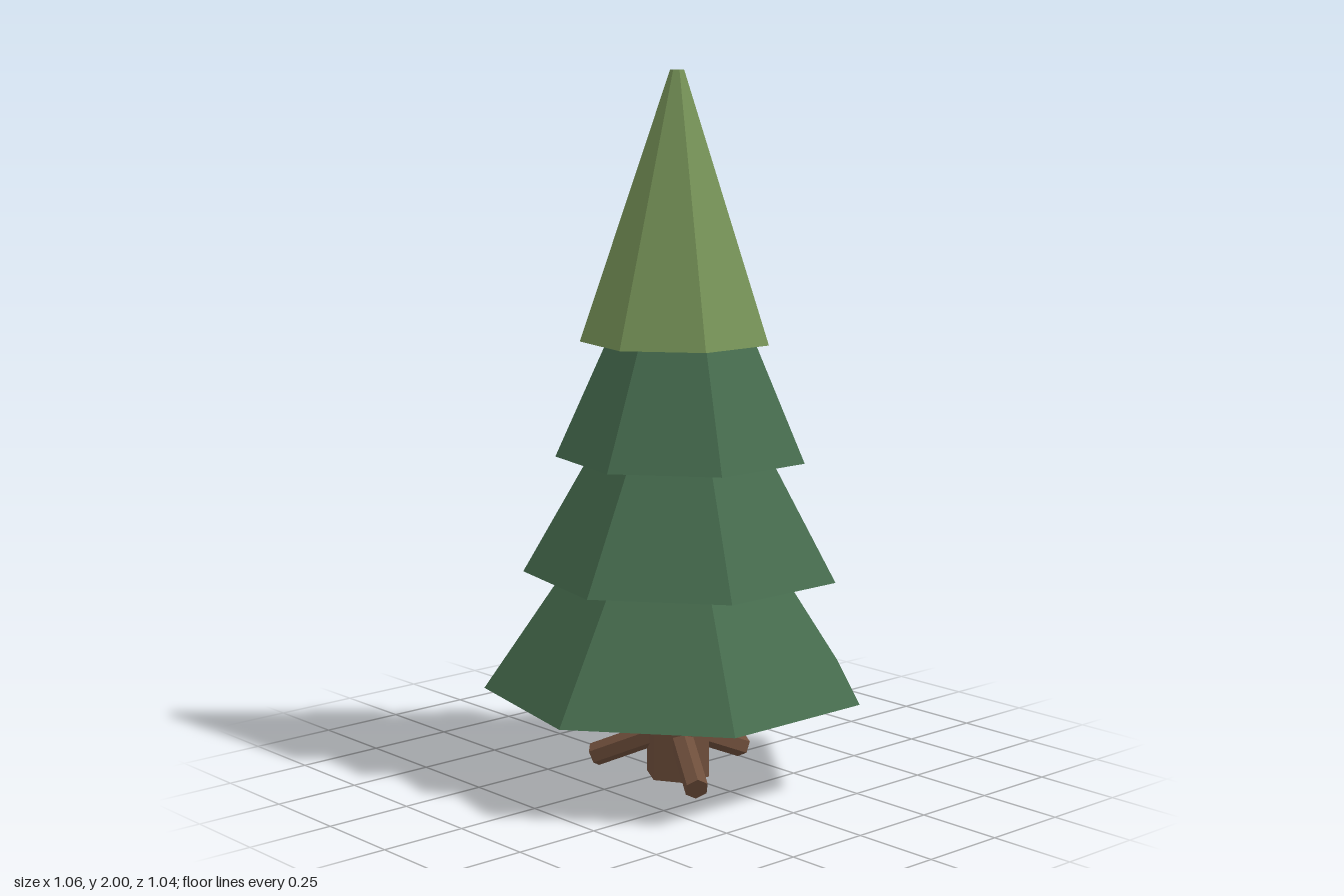
import * as THREE from 'three';

const flat = (name, color) => {
  const m = new THREE.MeshStandardMaterial({ color });
  m.name = name;
  return m;
};

export function createModel() {
  const tree = new THREE.Group();
  tree.name = 'tree';
  const darkGreen = flat('dark green', 0x476d4f);
  const lightGreen = flat('light green', 0x779458);
  const brown = flat('bark brown', 0x6e4e3b);

  const CZ = 0.026; // depth of the trunk axis

  // Flat-sided frustum, centred on its own axis
  const prism = (name, rTop, rBottom, height, sides, start, material) => {
    const geometry = new THREE.CylinderGeometry(rTop, rBottom, height, sides, 1, false, start).toNonIndexed();
    geometry.computeVertexNormals();
    const mesh = new THREE.Mesh(geometry, material);
    mesh.name = name;
    return mesh;
  };

  // Seven-sided foliage tiers: name, centre x, y from, y to, bottom radius, top radius
  const tiers = [
    ['bottomTier', 0, 0.267, 0.605, 0.546, 0.316, darkGreen],
    ['lowerMiddleTier', 0.026, 0.6, 0.93, 0.453, 0.264, darkGreen],
    ['upperMiddleTier', 0.026, 0.928, 1.26, 0.36, 0.211, darkGreen],
    ['topTier', 0.002, 1.254, 2, 0.271, 0.02, lightGreen],
  ];
  for (const [name, x, y0, y1, r0, r1, material] of tiers) {
    const tier = prism(name, r1, r0, y1 - y0, 7, Math.PI, material);
    tier.position.set(x, (y0 + y1) / 2, CZ);
    tree.add(tier);
  }

  // Six-sided trunk
  const trunk = prism('trunk', 0.093, 0.093, 0.3, 6, Math.PI / 2, brown);
  trunk.position.set(0.002, 0.155, 0.03);
  tree.add(trunk);

  // Three roots sloping down and outwards
  const slope = 0.41, length = 0.275;
  for (let i = 0; i < 3; i++) {
    const root = new THREE.Group();
    root.name = 'root' + (i + 1);
    const bar = prism('rootBar', 0.034, 0.034, length, 6, Math.PI / 2, brown);
    bar.rotation.z = -(Math.PI / 2 + slope);
    bar.position.set(Math.cos(slope) * length / 2, 0.148 - Math.sin(slope) * length / 2, 0);
    root.add(bar);
    root.position.set(0, 0, 0.03);
    root.rotation.y = (i * Math.PI * 2) / 3;
    tree.add(root);
  }
  return tree;
}
